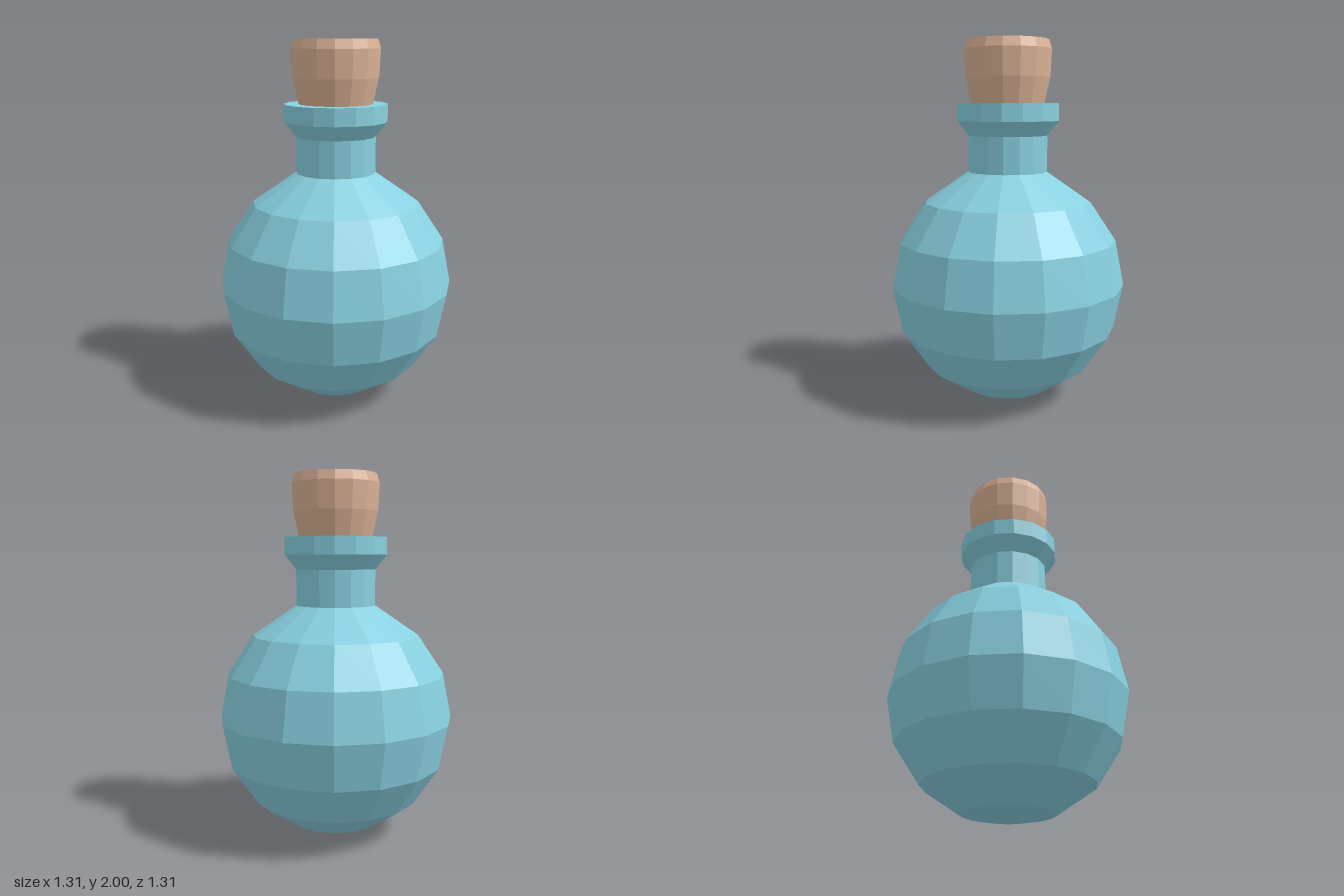
import * as THREE from 'three';

const SIDES = 16;

// Faceted solid of revolution from [radius, height] pairs, bottom to top
function turned(name, color, profile) {
  const points = profile.map(([r, y]) => new THREE.Vector2(r, y));
  const material = new THREE.MeshStandardMaterial({ color, flatShading: true });
  const mesh = new THREE.Mesh(new THREE.LatheGeometry(points, SIDES), material);
  mesh.name = name;
  return mesh;
}

export function createModel() {
  const group = new THREE.Group();
  group.name = 'corkedFlask';
  const glass = 0x88d0e0;
  const R = 0.655;

  // Round belly: sphere rings up to the shoulder, which runs straight to the neck
  const belly = [];
  for (let i = 0; i <= 6; i++) {
    const a = (i * Math.PI) / 8;
    belly.push([R * Math.sin(a), R - R * Math.cos(a)]);
  }
  belly.push([0.22, 1.285]);
  group.add(turned('belly', glass, belly));

  // Neck with flared lip, its flat top reaching in to the stopper
  group.add(turned('neckAndLip', glass, [
    [0.22, 1.285], [0.22, 1.485], [0.283, 1.565], [0.283, 1.66], [0.19, 1.66],
  ]));

  // Tapered stopper with a bevelled top
  group.add(turned('cork', 0xdab296, [
    [0, 1.6], [0.185, 1.6], [0.202, 1.66], [0.233, 1.8], [0.241, 1.95], [0.226, 2], [0, 2],
  ]));

  return group;
}
